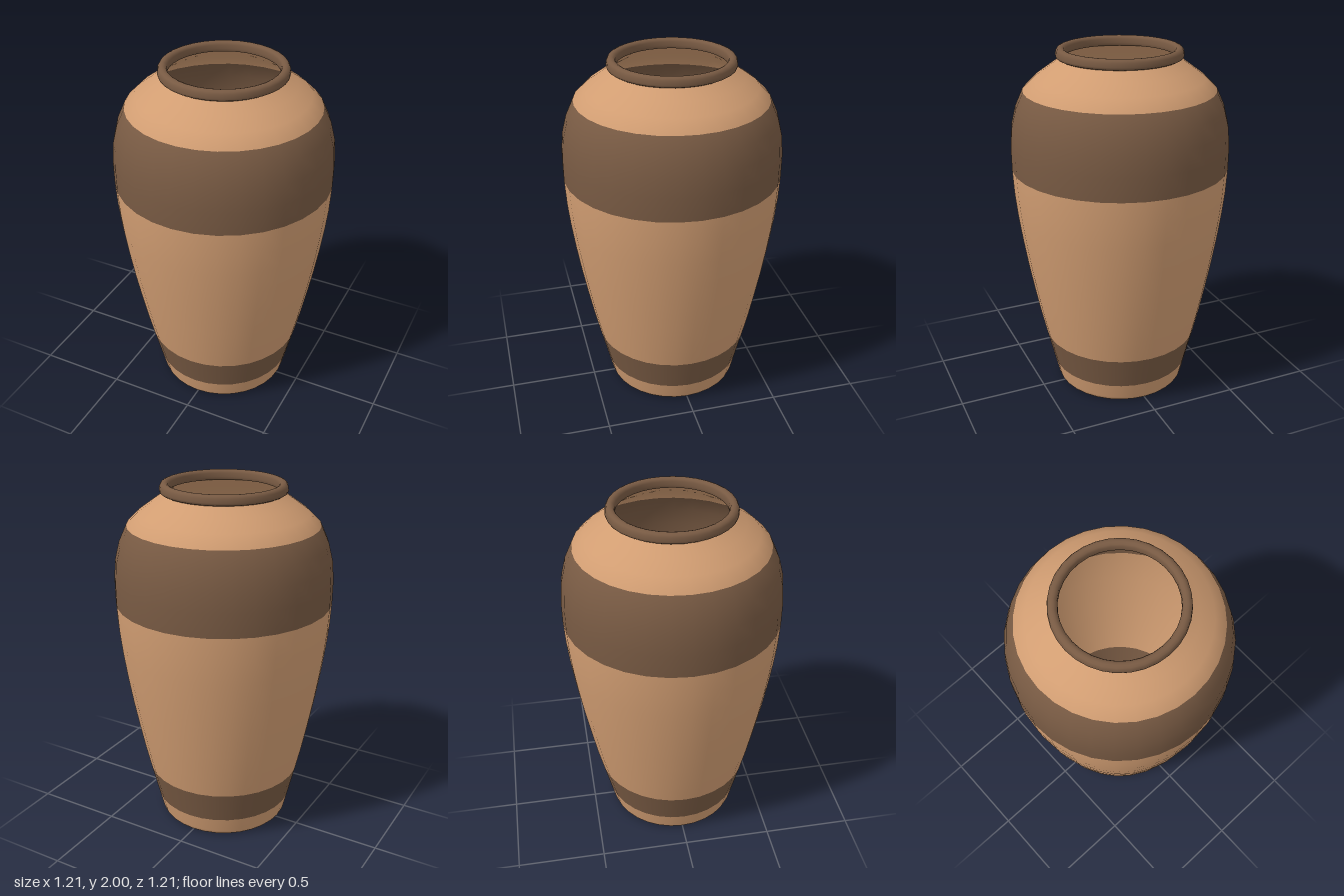
import * as THREE from 'three';

const SIDES = 32;
const clay = new THREE.MeshStandardMaterial({ color: 0xd19d72, side: THREE.DoubleSide });
const glaze = new THREE.MeshStandardMaterial({ color: 0x785a43, side: THREE.DoubleSide });

// Body outline [radius, height] from the centre of the base up to the neck
const outline = [
  [0, 0], [0.345, 0], [0.362, 0.004], [0.372, 0.014], [0.378, 0.03],
  [0.4, 0.12], [0.445, 0.31], [0.477, 0.45], [0.507, 0.6], [0.537, 0.76], [0.563, 0.92],
  [0.584, 1.07], [0.598, 1.2], [0.606, 1.34], [0.607, 1.47], [0.598, 1.58],
  [0.573, 1.68], [0.53, 1.775], [0.466, 1.838], [0.39, 1.893], [0.325, 1.94], [0.302, 1.96],
];

// Coloured zones, each running between two outline rows
const zones = [
  ['foot', 0, 5, clay],
  ['lowerBand', 5, 6, glaze],
  ['belly', 6, 13, clay],
  ['upperBand', 13, 17, glaze],
  ['shoulder', 17, 21, clay],
];

const lathe = (points) =>
  new THREE.LatheGeometry(points.map(([r, y]) => new THREE.Vector2(r, y)), SIDES);

// Keep only the rows of a lathe from one outline point to another, with its smooth normals
function latheRows(geometry, rowCount, from, to) {
  const source = geometry.index.array;
  const kept = [];
  for (let i = 0; i < source.length; i += 6) {
    const row = (i / 6) % rowCount;
    if (row >= from && row < to) kept.push(...source.slice(i, i + 6));
  }
  const part = geometry.clone();
  part.setIndex(kept);
  return part.toNonIndexed();
}

export function createModel() {
  const vase = new THREE.Group();
  vase.name = 'vase';

  // Body, split into plain and glazed zones
  const body = lathe(outline);
  for (const [name, from, to, material] of zones) {
    const mesh = new THREE.Mesh(latheRows(body, outline.length - 1, from, to), material);
    mesh.name = name;
    vase.add(mesh);
  }

  // Rounded lip around the mouth
  const lip = new THREE.Mesh(lathe([
    [0.3, 1.945], [0.334, 1.945], [0.344, 1.951], [0.347, 1.962], [0.344, 1.983],
    [0.337, 1.995], [0.325, 2], [0.314, 2], [0.302, 1.995], [0.296, 1.983],
    [0.295, 1.962], [0.296, 1.95], [0.3, 1.945],
  ]), glaze);
  lip.name = 'lip';
  vase.add(lip);

  return vase;
}
